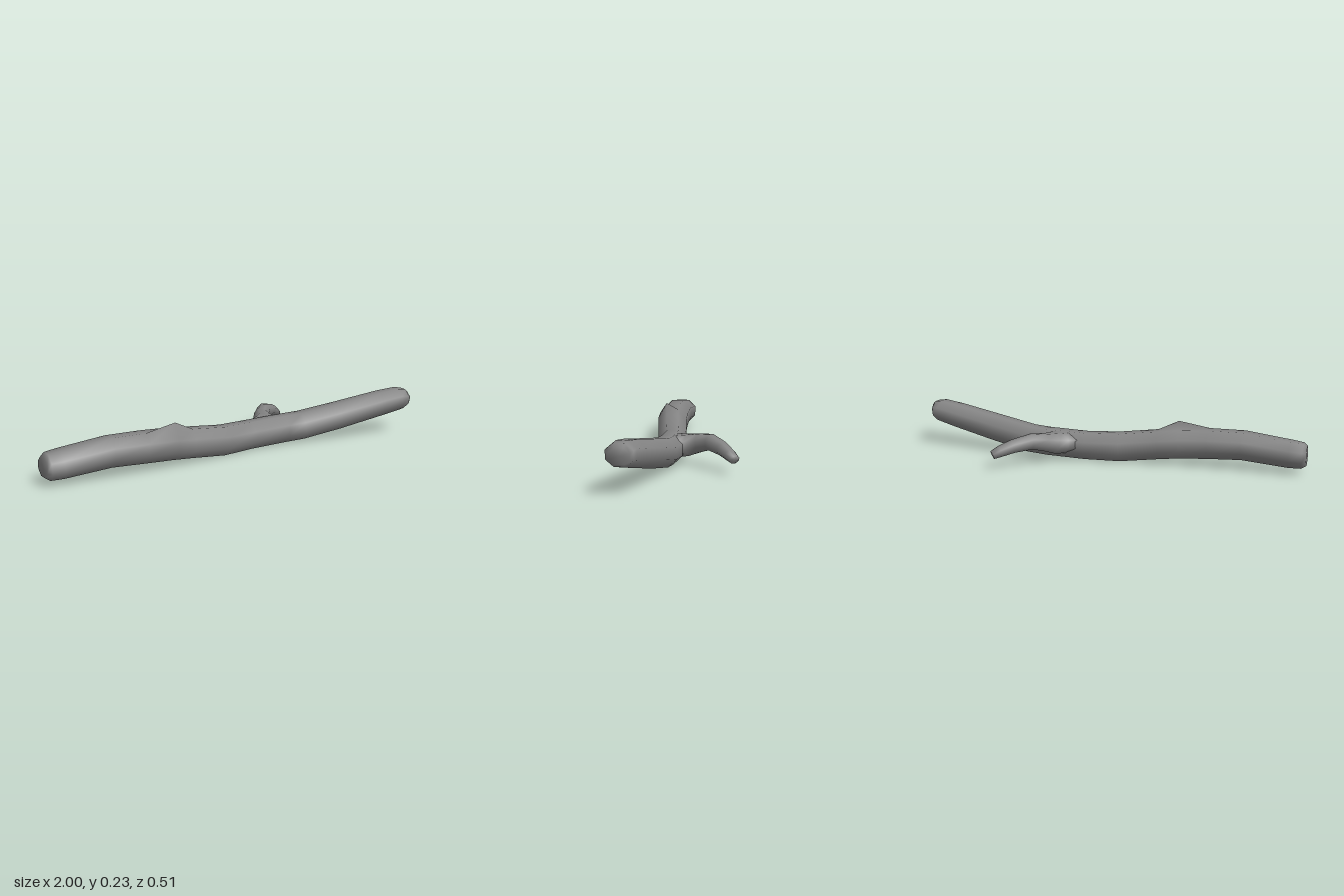
import * as THREE from 'three';

const SIDES = 8;

// Skins a limb through sections [x, y, z, halfWidth, halfHeight, knot].
function limb(name, sections, material) {
  const centers = sections.map(s => new THREE.Vector3(s[0], s[1], s[2]));
  const last = sections.length - 1;
  const fit = 1 / Math.cos(Math.PI / SIDES);
  const worldUp = new THREE.Vector3(0, 1, 0);
  const positions = [], index = [];

  sections.forEach(([, , , w, h, knot = 0], i) => {
    const t = centers[Math.min(i + 1, last)].clone().sub(centers[Math.max(i - 1, 0)]).normalize();
    const side = worldUp.clone().cross(t).normalize();
    const up = t.clone().cross(side);
    for (let j = 0; j < SIDES; j++) {
      const a = (j + 0.5) / SIDES * Math.PI * 2;
      // A knot lifts only the upper front corner of its section
      const lift = j === SIDES / 4 ? knot : 0;
      const p = centers[i].clone()
        .addScaledVector(side, Math.cos(a) * w * fit)
        .addScaledVector(up, Math.sin(a) * h * fit + lift);
      positions.push(p.x, p.y, p.z);
    }
  });

  // Bark surface
  for (let i = 0; i < last; i++) {
    for (let j = 0; j < SIDES; j++) {
      const a = i * SIDES + j, b = i * SIDES + (j + 1) % SIDES;
      index.push(a, b, a + SIDES, b, b + SIDES, a + SIDES);
    }
  }

  // Softly shaded ends, sharing the rim vertices
  for (const i of [0, last]) {
    const hub = positions.length / 3;
    positions.push(...centers[i].toArray());
    for (let j = 0; j < SIDES; j++) {
      const a = i * SIDES + j, b = i * SIDES + (j + 1) % SIDES;
      if (i === 0) index.push(hub, b, a);
      else index.push(hub, a, b);
    }
  }

  const geometry = new THREE.BufferGeometry();
  geometry.setAttribute('position', new THREE.Float32BufferAttribute(positions, 3));
  geometry.setIndex(index);
  geometry.computeVertexNormals();
  const mesh = new THREE.Mesh(geometry, material);
  mesh.name = name;
  return mesh;
}

export function createModel() {
  const group = new THREE.Group();
  group.name = 'branch';
  const bark = new THREE.MeshStandardMaterial({ color: 0x858585 });

  // Long bowed stem with a knot on its upper front
  group.add(limb('mainStem', [
    [-1.00, 0.090, 0.168, 0.050, 0.045],
    [-0.98, 0.090, 0.167, 0.060, 0.060],
    [-0.92, 0.094, 0.166, 0.069, 0.064],
    [-0.69, 0.117, 0.170, 0.075, 0.068],
    [-0.52, 0.113, 0.166, 0.076, 0.071],
    [-0.37, 0.105, 0.156, 0.075, 0.071, 0.036],
    [-0.27, 0.095, 0.144, 0.073, 0.070],
    [-0.07, 0.073, 0.118, 0.070, 0.070],
    [0.10, 0.073, 0.092, 0.069, 0.067],
    [0.30, 0.079, 0.090, 0.070, 0.067],
    [0.40, 0.084, 0.100, 0.070, 0.067],
    [0.60, 0.116, 0.133, 0.070, 0.065],
    [0.85, 0.160, 0.170, 0.069, 0.060],
    [0.95, 0.176, 0.186, 0.065, 0.055],
    [0.98, 0.176, 0.191, 0.061, 0.050],
    [0.995, 0.173, 0.191, 0.046, 0.036],
  ], bark));

  // Side twig, flaring out of the stem
  group.add(limb('sideTwig', [
    [0.215, 0.085, 0.100, 0.110, 0.040],
    [0.225, 0.088, 0.055, 0.100, 0.052],
    [0.236, 0.092, 0.022, 0.080, 0.051],
    [0.247, 0.096, -0.008, 0.053, 0.050],
    [0.270, 0.110, -0.060, 0.038, 0.043],
    [0.317, 0.122, -0.115, 0.034, 0.037],
    [0.390, 0.106, -0.175, 0.031, 0.031],
    [0.440, 0.086, -0.213, 0.028, 0.026],
    [0.472, 0.070, -0.236, 0.024, 0.019],
  ], bark));

  return group;
}
